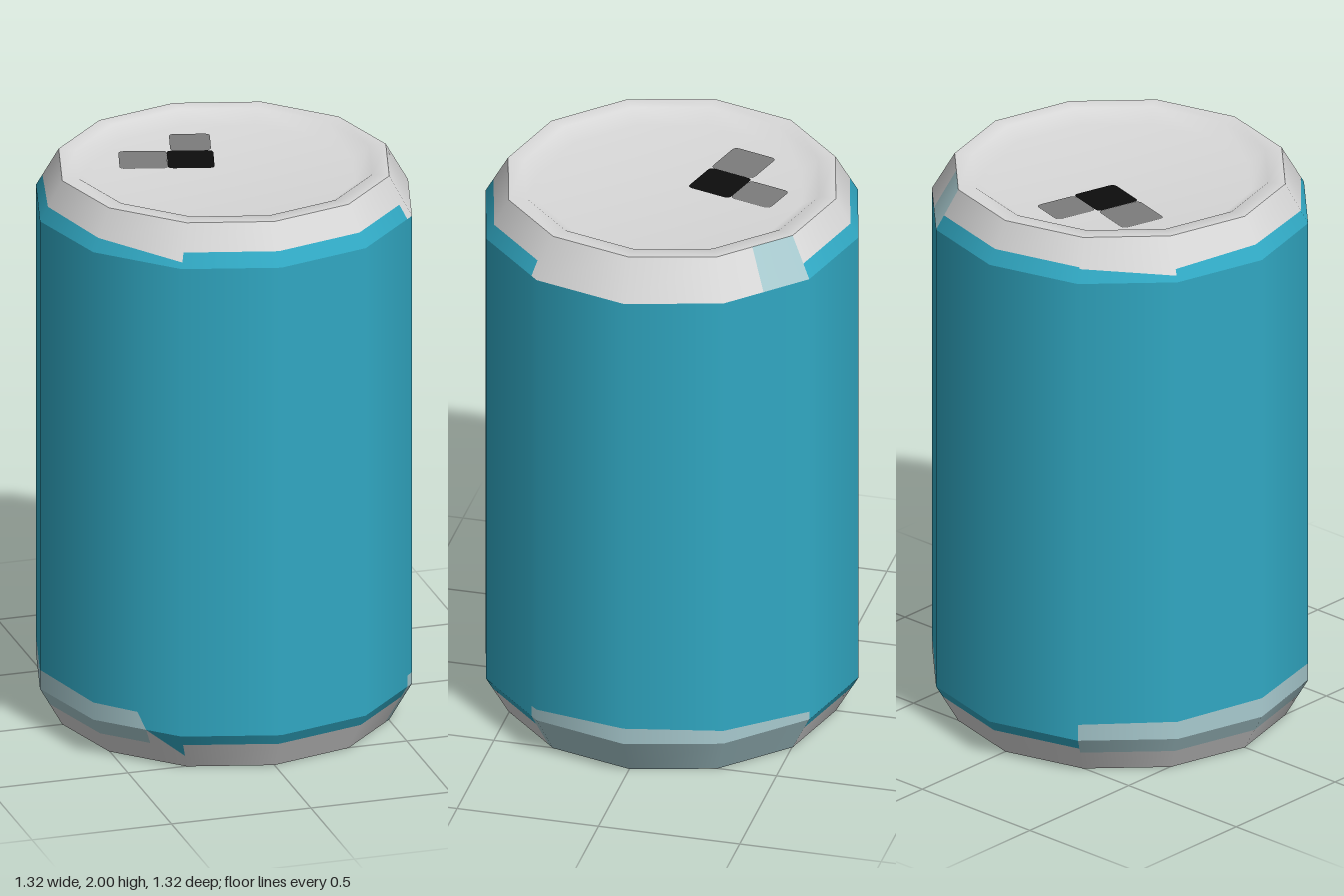
import * as THREE from 'three';

const mat = (name, color) => Object.assign(new THREE.MeshStandardMaterial({ color }), { name });
const R = 0.66, RIM = 0.58, LOW = 0.14, HIGH = 1.86, H = 2;

// radius of the can at a height (straight wall with a chamfer at each end)
const radius = (y) => {
  const t = y < LOW ? (LOW - y) / LOW : y > HIGH ? (y - HIGH) / (H - HIGH) : 0;
  return R - (R - RIM) * t;
};

// point on the twelve-sided surface, angle in degrees from +z towards +x
function surfacePoint(deg, y) {
  const local = ((deg % 30) + 30) % 30 - 15;
  const r = radius(y) * Math.cos(Math.PI / 12) / Math.cos(THREE.MathUtils.degToRad(local));
  const a = THREE.MathUtils.degToRad(deg);
  return [r * Math.sin(a), y, r * Math.cos(a)];
}

// collects the quads of one wall colour
class Skin {
  constructor() { this.pos = []; this.nor = []; }
  // strip between angles a0..a1, low and high edges given at both ends, within one zone
  strip(a0, a1, lo0, lo1, hi0, hi1, zone) {
    const slope = zone * (R - RIM) / LOW, len = Math.hypot(1, slope);
    for (let a = a0; a < a1;) {
      const b = Math.min(a1, (Math.floor(a / 30) + 1) * 30);
      const s = (a - a0) / (a1 - a0), t = (b - a0) / (a1 - a0), mix = THREE.MathUtils.lerp;
      const q = [[a, mix(lo0, lo1, s)], [b, mix(lo0, lo1, t)], [b, mix(hi0, hi1, t)], [a, mix(hi0, hi1, s)]];
      for (const i of [0, 1, 2, 0, 2, 3]) {
        const ang = THREE.MathUtils.degToRad(q[i][0]);
        this.pos.push(...surfacePoint(...q[i]));
        this.nor.push(Math.sin(ang) / len, slope / len, Math.cos(ang) / len);
      }
      a = b;
    }
  }
  // strip split at the two chamfer edges
  fill(a0, a1, lo0, lo1, hi0, hi1) {
    [[0, LOW, -1], [LOW, HIGH, 0], [HIGH, H, 1]].forEach(([min, max, zone]) => {
      const c = (v) => Math.min(max, Math.max(min, v));
      if (c(lo0) < c(hi0) || c(lo1) < c(hi1)) this.strip(a0, a1, c(lo0), c(lo1), c(hi0), c(hi1), zone);
    });
  }
  mesh(name, material) {
    const g = new THREE.BufferGeometry();
    g.setAttribute('position', new THREE.Float32BufferAttribute(this.pos, 3));
    g.setAttribute('normal', new THREE.Float32BufferAttribute(this.nor, 3));
    const m = new THREE.Mesh(g, material);
    m.name = name;
    return m;
  }
}

function roundedPlate(w, h, r) {
  const s = new THREE.Shape(), x = w / 2, y = h / 2;
  s.moveTo(-x + r, -y);
  s.lineTo(x - r, -y); s.quadraticCurveTo(x, -y, x, -y + r);
  s.lineTo(x, y - r); s.quadraticCurveTo(x, y, x - r, y);
  s.lineTo(-x + r, y); s.quadraticCurveTo(-x, y, -x, y - r);
  s.lineTo(-x, -y + r); s.quadraticCurveTo(-x, -y, -x + r, -y);
  return new THREE.ShapeGeometry(s, 4).rotateX(-Math.PI / 2);
}

export function createModel() {
  const teal = mat('teal paint', 0x31a9c4), silver = mat('silver metal', 0xd9d9d9);
  const pale = mat('worn paint', 0xa9cbd0), black = mat('black opening', 0x0d0d0d);
  const gray = mat('gray tab', 0x7c7c7c);
  const can = new THREE.Group();
  can.name = 'drinkCan';
  const paint = new Skin(), metal = new Skin(), worn = new Skin();

  // upper edge of the paint: start angle, end angle, height at each
  const top = [[-30, 57, 1.91, 1.91], [150, 210, 1.91, 1.91], [210, 240, 1.905, 1.88],
    [240, 270, 1.9, 1.91], [270, 300, 1.91, 1.905], [300, 330, 1.905, 1.88]];
  for (const [a, b, y0, y1] of top) {
    paint.fill(a, b, HIGH, HIGH, y0, y1);
    metal.fill(a, b, y0, y1, H, H);
  }
  metal.fill(57, 134, HIGH, HIGH, H, H);
  worn.fill(134, 150, HIGH, HIGH, H, H);

  // lower edge of the paint, then the lower edge of the worn band under it
  const bottom = [[-30, 57, 0.1, 0.1], [57, 90, 0.18, 0.2, 0], [90, 120, 0.2, 0.19, 0], [120, 150, 0.19, 0.17, 0],
    [150, 210, 0.1, 0.1], [210, 270, 0.2, 0.21, 0.08], [270, 315, 0.21, 0.2, 0.08],
    [315, 318, 0.2, 0.14, 0.08], [318, 330, 0.14, 0.05]];
  for (const [a, b, y0, y1, edge] of bottom) {
    paint.fill(a, b, y0, y1, HIGH, HIGH);
    if (edge === undefined) metal.fill(a, b, 0, 0, y0, y1);
    else {
      worn.fill(a, b, edge, edge, y0, y1);
      metal.fill(a, b, 0, 0, edge, edge);
    }
  }
  can.add(paint.mesh('paintedWall', teal), metal.mesh('metalChamfers', silver), worn.mesh('wornPatches', pale));

  // recessed lid and base
  const profile = [[RIM, 2], [0.52, 2], [0.46, 1.96], [0, 1.96]].map((p) => new THREE.Vector2(...p));
  const base = profile.map((p) => new THREE.Vector2(p.x, H - p.y)).reverse();
  [['lid', profile], ['base', base]].forEach(([name, pts]) => {
    const m = new THREE.Mesh(new THREE.LatheGeometry(pts, 12), silver);
    m.name = name;
    can.add(m);
  });

  // opening and tab printed on the lid
  const tab = new THREE.Group();
  tab.name = 'tab';
  tab.position.set(-0.073, 1.963, -0.15);
  tab.rotation.y = -0.27;
  [['opening', black, 0.16, 0.165, 0, 0], ['tabLeft', gray, 0.165, 0.165, -0.163, 0],
    ['tabBack', gray, 0.14, 0.155, 0.003, -0.16]].forEach(([name, m, w, h, x, z]) => {
    const plate = new THREE.Mesh(roundedPlate(w, h, 0.02), m);
    plate.name = name;
    plate.position.set(x, 0, z);
    tab.add(plate);
  });
  can.add(tab);
  return can;
}
